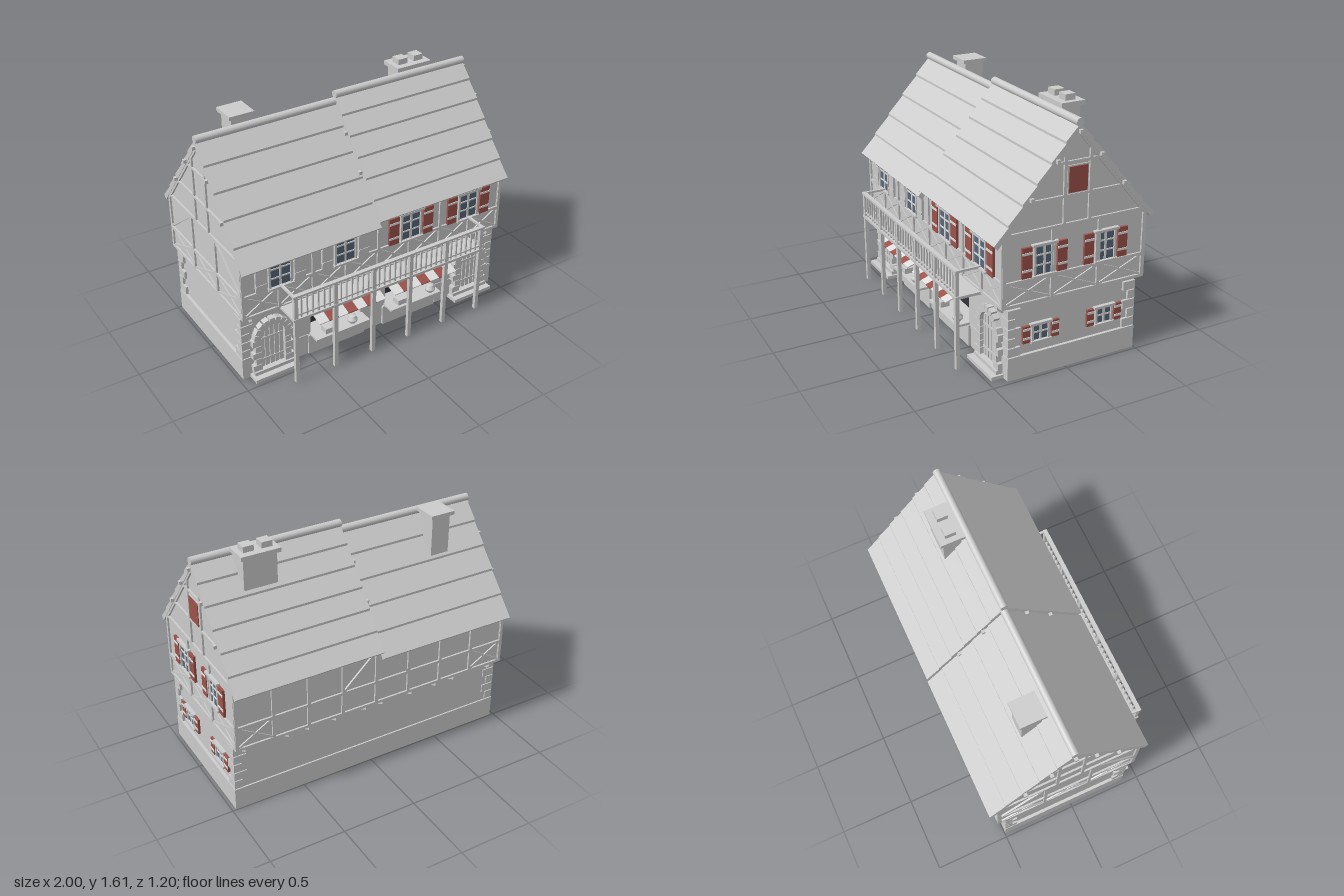
import * as THREE from 'three';

const material = (name, color) => Object.assign(new THREE.MeshStandardMaterial({ color }), { name });

export function createModel() {
  const house = new THREE.Group();
  house.name = 'timberHouse';
  const grey = material('paleGrey', 0xcccccc);
  const red = material('brickRed', 0x9c5249);
  const white = material('offWhite', 0xdedede);
  const glass = material('slateBlue', 0x56677a);
  const dark = material('shopDark', 0x34343e);

  const add = (parent, name, geo, mat) => {
    const mesh = new THREE.Mesh(geo, mat);
    mesh.name = name;
    parent.add(mesh);
    return mesh;
  };
  // Box given by its limits on each axis
  const box = (parent, name, mat, x0, x1, y0, y1, z0, z1) => {
    const mesh = add(parent, name, new THREE.BoxGeometry(x1 - x0, y1 - y0, z1 - z0), mat);
    mesh.position.set((x0 + x1) / 2, (y0 + y1) / 2, (z0 + z1) / 2);
    return mesh;
  };
  // Timber running between two points on a facade
  const beam = (parent, u0, v0, u1, v1, w = 0.02, d = 0.012) => {
    const mesh = add(parent, 'timber', new THREE.BoxGeometry(Math.hypot(u1 - u0, v1 - v0), w, d * 2), grey);
    mesh.position.set((u0 + u1) / 2, (v0 + v1) / 2, 0);
    mesh.rotation.z = Math.atan2(v1 - v0, u1 - u0);
  };
  const cross = (parent, u0, v0, u1, v1) => {
    beam(parent, u0, v0, u1, v1, 0.015, 0.009);
    beam(parent, u0, v1, u1, v0, 0.015, 0.008);
  };
  // Facade group: local x runs along the wall, local z points outward
  const facade = (name, x, z, turn) => {
    const g = new THREE.Group();
    g.name = name;
    g.position.set(x, 0, z);
    g.rotation.y = turn;
    house.add(g);
    return g;
  };
  const polygon = (pts) => new THREE.Shape(pts.map((p) => new THREE.Vector2(...p)));
  // Profile drawn in (z, y) and extended from x0 to x1
  const extrudeX = (name, shape, x0, x1, mat) => {
    const geo = new THREE.ExtrudeGeometry(shape, { depth: x1 - x0, bevelEnabled: false });
    geo.rotateY(-Math.PI / 2);
    const mesh = add(house, name, geo, mat);
    mesh.position.x = x1;
    return mesh;
  };

  // Window with panes, frame, lintel, sill and a pair of shutters
  const windowUnit = (parent, u, v, w, h, shutterMat, shutterW, gap) => {
    const g = new THREE.Group();
    g.name = 'window';
    g.position.set(u, v, 0);
    parent.add(g);
    box(g, 'pane', glass, -w / 2, w / 2, 0, h, -0.01, 0.006);
    for (const s of [-1, 1]) {
      box(g, 'frameSide', grey, s * w / 2 - 0.007, s * w / 2 + 0.007, 0, h, -0.01, 0.016);
      const c = s * (w / 2 + gap + shutterW / 2);
      box(g, 'shutter', shutterMat, c - shutterW / 2, c + shutterW / 2, -0.005, h + 0.005, -0.005, 0.016);
      for (const t of [0.2, 0.78])
        box(g, 'shutterStrap', shutterMat === red ? white : grey, c - shutterW / 2, c + shutterW / 2, h * t, h * t + 0.014, 0.014, 0.02);
    }
    box(g, 'mullion', white, -0.007, 0.007, 0, h, 0, 0.011);
    for (const t of h > 0.15 ? [0.33, 0.68] : [0.5])
      box(g, 'glazingBar', white, -w / 2, w / 2, h * t - 0.005, h * t + 0.005, 0, 0.01);
    box(g, 'lintel', grey, -w / 2 - 0.02, w / 2 + 0.02, h, h + 0.016, -0.01, 0.025);
    box(g, 'sill', grey, -w / 2 - 0.015, w / 2 + 0.015, -0.014, 0, -0.01, 0.025);
  };

  // Ground floor: front wall with shop openings, core, plinth
  const wall = polygon([[-0.955, 0], [0.955, 0], [0.955, 0.48], [-0.955, 0.48]]);
  const shops = [[-0.48, -0.1], [0.09, 0.47]];
  for (const [a, b] of shops)
    wall.holes.push(new THREE.Path([[a, 0.15], [a, 0.36], [b, 0.36], [b, 0.15]].map((p) => new THREE.Vector2(...p))));
  add(house, 'shopWall', new THREE.ExtrudeGeometry(wall, { depth: 0.09, bevelEnabled: false }), grey).position.z = 0.295;
  box(house, 'groundFloor', grey, -0.955, 0.955, 0, 0.48, -0.485, 0.295);
  box(house, 'plinth', grey, -0.975, 0.975, 0, 0.15, -0.495, 0.29);
  for (const s of [-1, 1]) {
    const a = s * 0.94, b = s * 0.975;
    box(house, 'plinthSide', grey, Math.min(a, b), Math.max(a, b), 0, 0.15, 0.29, 0.393);
    const c = s * 0.9;
    box(house, 'plinthFront', grey, Math.min(c, b), Math.max(c, b), 0, 0.15, 0.37, 0.393);
    const e = s * 0.63, f = s * 0.5;
    box(house, 'plinthFront', grey, Math.min(e, f), Math.max(e, f), 0, 0.15, 0.37, 0.39);
  }

  // Corner stones of alternating length
  for (const sx of [-1, 1]) for (const front of [true, false]) for (let i = 0; i < 5; i++) {
    const lz = i % 2 ? 0.05 : 0.085, lx = i % 2 ? 0.085 : 0.055, y = 0.155 + i * 0.062;
    const x0 = sx > 0 ? 0.972 - lx : -0.972;
    const z0 = front ? 0.392 - lz : -0.492;
    box(house, 'cornerStone', grey, x0, x0 + lx, y, y + 0.056, z0, z0 + lz);
  }

  // Shops: dark interior, counter, goods and striped awning
  shops.forEach(([a, b], i) => {
    box(house, 'shopInterior', dark, a - 0.01, b + 0.01, 0.15, 0.36, 0.29, 0.299);
    box(house, 'counterFront', grey, a - 0.025, b + 0.02, 0, 0.142, 0.37, 0.4);
    box(house, 'counter', grey, a - 0.01, b + 0.01, 0.142, 0.157, 0.3, 0.48);
    const bx = i ? 0.185 : -0.375, px = i ? 0.42 : -0.2;
    box(house, 'crate', grey, bx - 0.037, bx + 0.037, 0.157, 0.195, 0.4, 0.46);
    const profile = [[0, 0], [0.02, 0], [0.034, 0.018], [0.034, 0.03], [0.018, 0.047], [0.024, 0.055], [0, 0.055]];
    const pot = add(house, 'pot', new THREE.LatheGeometry(profile.map((p) => new THREE.Vector2(...p)), 14), grey);
    pot.position.set(px, 0.157, 0.44);
    for (let k = 0; k < 7; k++) {
      const x0 = (i ? 0.28 : -0.28) + (k - 3.5) * 0.07;
      const m = k % 2 ? red : white;
      const strip = box(house, 'awningStripe', m, x0, x0 + 0.07, -0.004, 0.004, -0.095, 0.095);
      strip.position.set(x0 + 0.035, 0.386, 0.482);
      strip.rotation.x = 0.32;
    }
  });

  // Arched doors with stone surround and steps
  for (const x of [-0.77, 0.77]) {
    const g = facade('doorway', x, 0.385, 0);
    const arch = polygon([[-0.088, 0.03], [0.088, 0.03], [0.088, 0.28]]);
    arch.absarc(0, 0.28, 0.088, 0, Math.PI, false);
    add(g, 'doorLeaf', new THREE.ExtrudeGeometry(arch, { depth: 0.008, bevelEnabled: false }), grey);
    for (let i = -2; i <= 2; i++) {
      const top = 0.28 + Math.sqrt(0.088 ** 2 - (i * 0.034) ** 2);
      box(g, 'doorPlank', grey, i * 0.034 - 0.013, i * 0.034 + 0.013, 0.05, top - 0.008, 0, 0.016);
    }
    for (const y of [0.1, 0.26]) box(g, 'doorHinge', grey, -0.08, 0.08, y, y + 0.014, 0, 0.02);
    for (const s of [-1, 1]) for (let i = 0; i < 5; i++) {
      const w = i % 2 ? 0.04 : 0.06;
      const c = s * (0.083 + w / 2), y = 0.05 + i * 0.047;
      box(g, 'jambStone', grey, c - w / 2, c + w / 2, y, y + 0.043, -0.01, 0.04);
    }
    for (let i = 0; i < 9; i++) {
      const t = (i + 0.5) * Math.PI / 9;
      const stone = box(g, 'archStone', grey, -0.023, 0.023, -0.018, 0.018, -0.025, 0.025);
      stone.position.set(Math.cos(t) * 0.108, 0.28 + Math.sin(t) * 0.108, 0.015);
      stone.rotation.z = t;
    }
    box(g, 'lowerStep', grey, -0.155, 0.155, 0, 0.024, -0.01, 0.09);
    box(g, 'upperStep', grey, -0.14, 0.14, 0.024, 0.048, -0.01, 0.05);
  }

  // Upper floor, gables and roofs of the two joined halves
  const C = -0.055, PITCH = 1.19;
  const halves = [
    { x0: -0.98, x1: -0.02, dy: -0.045, courses: 5, g0: -0.965, g1: -0.02 },
    { x0: -0.02, x1: 0.98, dy: 0, courses: 6, g0: -0.02, g1: 0.965 },
  ];
  for (const { x0, x1, dy, courses, g0, g1 } of halves) {
    extrudeX('upperFloor', polygon([[-0.535, 0.475], [0.425, 0.475], [0.425, 0.9 + dy], [C, 1.475 + dy], [-0.535, 0.9 + dy]]), g0, g1, grey);
    const side = [];
    const run = 0.545, eave = 0.885 + dy, rise = run * PITCH;
    for (let i = 0; i < courses; i++) {
      const a = i / courses, b = (i + 1) / courses;
      side.push([run * (1 - a), eave + rise * a], [run * (1 - b), eave + rise * b - 0.015]);
    }
    const outer = [...side, ...side.slice(0, -1).reverse().map(([z, y]) => [-z, y])];
    const inner = [[-run + 0.025, eave - 0.025], [0, eave + rise - 0.06], [run - 0.025, eave - 0.025]];
    extrudeX('roof', polygon([...outer, ...inner].map(([z, y]) => [z + C, y])), x0, x1, grey);
    const ridge = add(house, 'ridge', new THREE.CylinderGeometry(0.025, 0.025, x1 - x0, 16), grey);
    ridge.rotation.z = Math.PI / 2;
    ridge.position.set((x0 + x1) / 2, 1.525 + dy, C);
    // Purlin ends
    for (const [z, y] of [[0, 1.475], [0.145, 1.32], [-0.145, 1.32], [0.31, 1.12], [-0.31, 1.12]])
      box(house, 'purlin', grey, x0 < -0.5 ? -1 : -0.04, x0 < -0.5 ? -0.03 : 1, y + dy - 0.011, y + dy + 0.011, z + C - 0.011, z + C + 0.011);
  }

  // Front timber framing and windows
  const front = facade('frontFraming', 0, 0.425, 0);
  const back = facade('backFraming', 0, -0.535, Math.PI);
  for (const f of [front, back]) {
    for (const y of [0.485, 0.637]) beam(f, -0.975, y, 0.975, y, 0.018);
    const s = f === front ? 1 : -1;
    beam(f, -0.975 * s, 0.85, 0, 0.85);
    beam(f, 0, 0.89, 0.975 * s, 0.89);
    for (const x of [-0.965, -0.48, 0, 0.48, 0.965]) beam(f, x, 0.48, x, 0.89);
  }
  for (const x of [-0.72, -0.24, 0.24, 0.72]) {
    beam(front, x, 0.48, x, 0.637);
    beam(back, x, 0.48, x, 0.87);
  }
  for (let i = 0; i < 8; i++) {
    const x = -0.96 + i * 0.24;
    cross(front, x, 0.49, x + 0.24, 0.632);
    if (i === 0 || i === 7) cross(back, x, 0.49, x + 0.24, 0.632);
  }
  beam(back, -0.24, 0.64, 0, 0.87, 0.016);
  beam(back, 0.24, 0.64, 0, 0.87, 0.016);
  for (const [x, m] of [[-0.71, grey], [-0.25, grey], [0.245, red], [0.705, red]])
    windowUnit(front, x, 0.645, 0.15, 0.185, m, 0.075, 0.02);

  // Side timber framing; the right side carries windows and a hatch
  for (const s of [1, -1]) {
    const f = facade(s > 0 ? 'rightFraming' : 'leftFraming', s * 0.965, C, s * Math.PI / 2);
    const dy = s > 0 ? 0 : -0.045;
    for (const y of [0.485, 0.63, 0.925 + dy]) beam(f, -0.485, y, 0.485, y, 0.018);
    for (const u of [-0.475, -0.158, 0.158, 0.475]) beam(f, u, 0.48, u, 0.925 + dy);
    for (const u of [-0.475, -0.158, 0.158]) cross(f, u, 0.49, u + 0.317, 0.625);
    beam(f, -0.32, 1.1 + dy, 0.32, 1.1 + dy, 0.015);
    beam(f, -0.15, 1.3 + dy, 0.15, 1.3 + dy, 0.015);
    for (const t of [-1, 1]) {
      beam(f, t * 0.085, 0.925 + dy, t * 0.085, 1.38 + dy);
      beam(f, t * 0.475, 0.905 + dy, 0, 1.47 + dy, 0.022);
      if (s < 0) beam(f, t * 0.475, 0.64, t * 0.17, 0.87, 0.018);
    }
    if (s < 0) continue;
    box(f, 'hatchFrame', grey, -0.07, 0.07, 1.108, 1.278, -0.01, 0.008);
    box(f, 'hatch', red, -0.062, 0.062, 1.115, 1.27, 0, 0.013);
    for (const u of [-0.212, 0.205]) windowUnit(f, u, 0.65, 0.13, 0.18, red, 0.065, 0.02);
    for (const u of [-0.223, 0.22]) {
      const g = new THREE.Group();
      g.name = 'lowerWindow';
      g.position.z = -0.01;
      f.add(g);
      windowUnit(g, u, 0.225, 0.11, 0.1, red, 0.05, 0.018);
    }
  }

  // Wedge brackets under the overhanging floor
  for (const x of [-0.9, -0.61, -0.47, -0.28, -0.06, 0.06, 0.28, 0.47, 0.61, 0.9]) {
    extrudeX('frontBracket', polygon([[0.38, 0.475], [0.38, 0.425], [0.4, 0.425], [0.435, 0.455], [0.435, 0.475]]), x - 0.016, x + 0.016, grey);
    extrudeX('backBracket', polygon([[-0.48, 0.475], [-0.545, 0.475], [-0.545, 0.455], [-0.48, 0.42]]), x - 0.014, x + 0.014, grey);
  }

  // Balcony: deck, posts, rails and balusters
  box(house, 'balconyDeck', grey, -0.72, 0.72, 0.468, 0.485, 0.38, 0.6);
  for (let i = 0; i < 6; i++) {
    const x = -0.7 + i * 0.28;
    box(house, 'balconyPost', grey, x - 0.013, x + 0.013, 0, 0.65, 0.573, 0.597);
  }
  box(house, 'handrail', grey, -0.72, 0.72, 0.638, 0.652, 0.572, 0.6);
  box(house, 'lowerRail', grey, -0.71, 0.71, 0.502, 0.512, 0.58, 0.592);
  for (let i = 1; i < 35; i++) {
    const x = -0.7 + i * 0.04;
    box(house, 'baluster', grey, x - 0.005, x + 0.005, 0.485, 0.64, 0.581, 0.591);
  }
  for (const x of [-0.71, 0.71]) box(house, 'sideRail', grey, x - 0.008, x + 0.008, 0.638, 0.652, 0.425, 0.59);

  // Chimneys
  box(house, 'rightChimney', grey, 0.5, 0.72, 1.2, 1.54, -0.22, -0.1);
  box(house, 'rightChimneyCap', grey, 0.48, 0.74, 1.54, 1.567, -0.24, -0.08);
  for (const x of [0.55, 0.67]) box(house, 'chimneyPot', grey, x - 0.035, x + 0.035, 1.567, 1.605, -0.195, -0.125);
  box(house, 'leftChimney', grey, -0.7, -0.57, 1.15, 1.505, -0.26, -0.13);
  box(house, 'leftChimneyCap', grey, -0.72, -0.55, 1.505, 1.53, -0.28, -0.11);

  return house;
}
